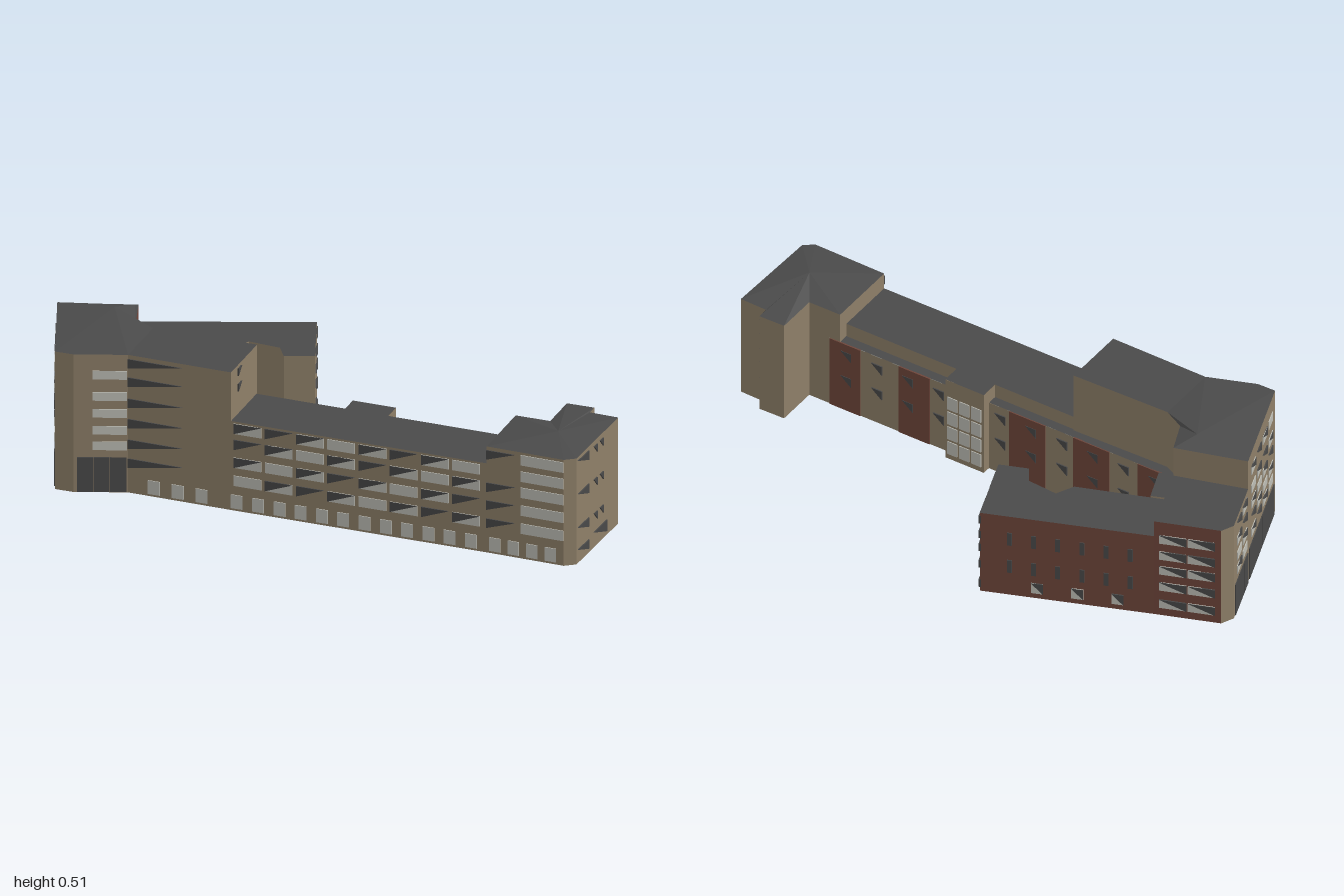
import * as THREE from 'three';
import { mergeGeometries } from 'three/addons/utils/BufferGeometryUtils.js';

const material = (name, color) =>
  new THREE.MeshStandardMaterial({ name, color, side: THREE.DoubleSide, flatShading: true });

export function createModel() {
  const model = new THREE.Group();
  model.name = 'courtyardBuilding';
  const tan = material('tanWall', 0x8e7f68);
  const brick = material('redBrick', 0x6e453a);
  const slate = material('darkRoof', 0x4a4a4a);
  const dark = material('darkGlass', 0x484848);
  const light = material('lightGlass', 0xbcbcb4);

  const add = (name, geometry, mat) => {
    const mesh = new THREE.Mesh(geometry, mat);
    mesh.name = name;
    model.add(mesh);
  };
  const fromTriangles = (positions) => {
    const g = new THREE.BufferGeometry();
    g.setAttribute('position', new THREE.Float32BufferAttribute(positions, 3));
    g.computeVertexNormals();
    return g;
  };

  // Vertical wall along a ground path of [x, z] points
  function wall(name, path, y0, y1, mat = tan) {
    const v = [];
    for (let i = 0; i < path.length - 1; i++) {
      const [ax, az] = path[i], [bx, bz] = path[i + 1];
      v.push(ax, y0, az, bx, y0, bz, bx, y1, bz, ax, y0, az, bx, y1, bz, ax, y1, az);
    }
    add(name, fromTriangles(v), mat);
  }

  // Flat roof, or a fan of low slopes rising to a peak [x, y, z]
  function roof(name, pts, y, peak) {
    if (peak) {
      const v = [];
      pts.forEach(([x, z], i) => {
        const [nx, nz] = pts[(i + 1) % pts.length];
        v.push(x, y, z, nx, y, nz, ...peak);
      });
      add(name, fromTriangles(v), slate);
    } else {
      const shape = new THREE.Shape(pts.map(([x, z]) => new THREE.Vector2(x, -z)));
      add(name, new THREE.ShapeGeometry(shape).rotateX(-Math.PI / 2).translate(0, y, 0), slate);
    }
  }

  // Thin plate set in the wall a-b; s values are distances from a
  function plate(a, b, s0, s1, y0, y1, half = false, depth = 0.006) {
    const pts = half ? [[s0, y0], [s1, y1], [s0, y1]] : [[s0, y0], [s1, y0], [s1, y1], [s0, y1]];
    const shape = new THREE.Shape(pts.map((p) => new THREE.Vector2(...p)));
    return new THREE.ExtrudeGeometry(shape, { depth, bevelEnabled: false })
      .translate(0, 0, -depth / 2)
      .rotateY(Math.atan2(a[1] - b[1], b[0] - a[0]))
      .translate(a[0], 0, a[1]);
  }

  // Grid of windows: n columns between s0 and s1, one row per base height
  function windows(name, a, b, s0, s1, n, rows, h, style, fill = 0.8) {
    const sets = { light: [], dark: [] };
    const pitch = (s1 - s0) / n;
    rows.forEach((y, j) => {
      for (let i = 0; i < n; i++) {
        const p = s0 + pitch * i, q = p + pitch * fill;
        const k = style === 'mixed' ? ['light', 'both', 'tri', 'both'][(i * 3 + j * 5) % 4] : style;
        if (k === 'light' || k === 'both') sets.light.push(plate(a, b, p, q, y, y + h));
        if (k === 'dark') sets.dark.push(plate(a, b, p, q, y, y + h));
        if (k === 'tri' || k === 'both') sets.dark.push(plate(a, b, p, q, y, y + h, true, 0.009));
      }
    });
    if (sets.light.length) add(name + 'LightWindows', mergeGeometries(sets.light), light);
    if (sets.dark.length) add(name + 'DarkWindows', mergeGeometries(sets.dark), dark);
  }

  // Plan corners
  const sw = [-0.80, 0.435], sw2 = [-0.735, 0.435], bend = [-0.57, 0.375];
  const tallE = [-0.21, 0.385], eastS = [0.68, 0.40], se = [0.95, 0.41], se2 = [0.985, 0.385];
  const ne = [0.995, 0.035], westMid = [-0.932, 0.07], nw = [-1, -0.12], nw2 = [-0.98, -0.165];
  const northJoin = [-0.77, -0.24], northE = [-0.23, -0.44], northE2 = [-0.14, -0.19];
  const court = [-0.71, -0.05], courtMid = [-0.69, 0], courtS = [-0.645, 0.11];
  const backE = [0.80, 0.14];

  // Tall corner block
  wall('tallBlockOuterWall', [westMid, sw, sw2, bend, tallE], 0, 0.487);
  wall('tallBlockEndWall', [tallE, [-0.21, 0.15]], 0.315, 0.487);
  wall('tallBlockBackWall', [[-0.21, 0.15], [-0.57, 0.15], courtS], 0.265, 0.487);
  wall('tallBlockCourtWall', [courtS, courtMid], 0, 0.487);
  wall('tallBlockNorthWall', [courtMid, westMid], 0.375, 0.487);
  roof('tallBlockPeakedRoof', [sw, sw2, bend, [-0.57, 0.15], courtS, courtMid, westMid], 0.487, [-0.73, 0.508, 0.08]);
  roof('tallBlockFlatRoof', [bend, tallE, [-0.21, 0.15], [-0.57, 0.15]], 0.487);

  // Long front bar with its top floor set back at the rear
  wall('barFrontWall', [tallE, eastS], 0, 0.315);
  wall('barCourtWall', [courtS, backE], 0, 0.265);
  wall('barUpperCourtWall', [[-0.21, 0.155], [0.68, 0.175]], 0.265, 0.315);
  roof('barRoof', [tallE, eastS, [0.68, 0.175], [-0.21, 0.155]], 0.315);
  roof('barTerrace', [courtS, [-0.57, 0.155], [-0.21, 0.155], [0.68, 0.175], [0.68, 0.14]], 0.265);

  // East end block with stair tower
  wall('eastBlockWall', [eastS, se, se2, ne, [0.895, 0.03], [0.895, -0.01], [0.80, -0.01], backE], 0, 0.375);
  wall('eastBlockBackWall', [backE, [0.68, 0.138]], 0.265, 0.375);
  wall('eastBlockInnerWall', [[0.68, 0.138], eastS], 0.315, 0.375);
  wall('eastBlockInnerStep', [[0.68, 0.138], [0.68, 0.175]], 0.265, 0.315);
  roof('eastBlockRoof', [eastS, se, se2, ne, [0.895, 0.03], [0.895, -0.01], [0.80, -0.01], backE, [0.68, 0.138]],
    0.375, [0.87, 0.397, 0.25]);

  // West wing
  wall('westWingOuterWall', [westMid, nw, nw2], 0, 0.375);
  wall('westWingNorthWall', [nw2, northJoin], 0, 0.375, brick);
  wall('westWingUpperWall', [northJoin, court], 0.315, 0.375, brick);
  wall('westWingCourtWall', [court, courtMid], 0, 0.375);
  roof('westWingRoof', [westMid, nw, nw2, northJoin, court, courtMid], 0.375);

  // North wing
  const wingCourt = [northE2, [-0.235, -0.155], [-0.27, -0.21], [-0.38, -0.22], [-0.41, -0.157], court];
  wall('northWingBrickWall', [northJoin, northE], 0, 0.315, brick);
  wall('northWingEndWall', [northE, northE2], 0, 0.315);
  wall('northWingCourtWall', wingCourt, 0, 0.315);
  roof('northWingRoof', [northJoin, northE, ...wingCourt], 0.315);

  // Courtyard stair towers
  const stair = [[0.10, 0.13], [0.10, 0.095], [0.25, 0.098], [0.25, 0.17], [0.10, 0.17]];
  wall('barStairTower', [...stair, stair[0]], 0, 0.315);
  roof('barStairRoof', stair, 0.316);
  const nook = [[-0.705, -0.035], [-0.64, -0.06], [-0.595, 0.06], [-0.66, 0.085]];
  wall('cornerStairTower', nook, 0, 0.31);
  roof('cornerStairRoof', nook, 0.31);

  // Brick stripes along the courtyard
  const stripes = [[0.60, 0.72], [0.33, 0.45], [-0.12, 0.02], [-0.37, -0.23], [-0.60, -0.48]]
    .map(([p, q]) => plate(courtS, backE, p + 0.645, q + 0.645, 0, 0.265));
  add('courtBrickStripes', mergeGeometries(stripes), brick);

  // Front windows
  const floors = [0.088, 0.152, 0.215, 0.272];
  windows('barFront', tallE, eastS, 0.01, 0.88, 8, floors, 0.036, 'mixed', 0.88);
  windows('barGround', tallE, eastS, 0.0, 0.89, 12, [0.008], 0.048, 'light', 0.55);
  windows('bendGround', bend, tallE, 0.07, 0.32, 3, [0.008], 0.048, 'light', 0.5);
  windows('bend', bend, tallE, 0.0, 0.19, 1, [0.088, 0.155, 0.228, 0.30, 0.375, 0.44], 0.033, 'tri', 1);
  windows('eastFront', eastS, se, 0.12, 0.27, 1, [0.088, 0.152, 0.215, 0.272, 0.33], 0.036, 'light', 1);
  windows('eastFrontSide', eastS, se, 0.0, 0.11, 1, [0.088, 0.152, 0.215, 0.33], 0.033, 'tri', 0.9);
  windows('eastGround', eastS, se, 0.01, 0.27, 4, [0.008], 0.048, 'light', 0.6);
  const tallFloors = [0.15, 0.205, 0.265, 0.325, 0.40];
  windows('corner', sw2, bend, 0.06, 0.172, 1, tallFloors, 0.03, 'light', 1);
  windows('cornerShop', sw2, bend, 0.01, 0.172, 3, [0.002], 0.122, 'dark', 0.96);

  // West windows and shopfront
  windows('westTall', sw, westMid, 0.04, 0.37, 4, tallFloors, 0.032, 'mixed', 0.7);
  windows('westShop', sw, westMid, 0.02, 0.38, 6, [0.002], 0.122, 'dark', 0.95);
  windows('westWing', westMid, nw, 0.02, 0.18, 2, [0.15, 0.205, 0.265, 0.325], 0.032, 'mixed', 0.75);
  windows('westWingShop', westMid, nw, 0.01, 0.19, 3, [0.002], 0.122, 'dark', 0.95);

  // North windows
  windows('northWest', nw2, northJoin, 0.02, 0.21, 2, [0.03, 0.10, 0.165, 0.225, 0.29], 0.033, 'both', 0.95);
  windows('northBrick', northJoin, northE, 0.07, 0.55, 6, [0.09, 0.20], 0.05, 'dark', 0.2);
  windows('northGround', northJoin, northE, 0.10, 0.50, 3, [0.02], 0.04, 'both', 0.3);

  // East windows
  const endFloors = [0.015, 0.093, 0.16, 0.212, 0.272];
  windows('eastEnd', ne, se2, 0.25, 0.34, 1, [0.015, 0.093, 0.212, 0.33], 0.033, 'tri', 1);
  windows('eastMiddle', ne, se2, 0.13, 0.23, 2, [0.093, 0.212, 0.33], 0.028, 'tri', 0.55);
  windows('eastBase', ne, se2, 0.10, 0.21, 1, [0.015], 0.04, 'tri', 1);
  windows('northEnd', northE, northE2, 0.0, 0.10, 1, endFloors, 0.03, 'tri', 1);
  windows('northEndSide', northE, northE2, 0.16, 0.24, 1, endFloors, 0.03, 'tri', 1);
  windows('eastTower', [0.895, 0.03], [0.895, -0.01], 0.0, 0.04, 1, [0.015, 0.093, 0.16, 0.212, 0.272, 0.33], 0.028, 'tri', 0.9);
  windows('tallEnd', tallE, [-0.21, 0.15], 0.06, 0.09, 1, [0.395, 0.45], 0.026, 'tri', 1);

  // Courtyard windows
  windows('barStair', stair[1], stair[2], 0.01, 0.15, 3, [0.02, 0.08, 0.14, 0.20], 0.05, 'light', 0.8);
  windows('barCourt', courtS, backE, 0.08, 1.40, 11, [0.10, 0.20], 0.035, 'tri', 0.35);
  windows('wingCourt', [-0.41, -0.157], court, 0.03, 0.31, 4, [0.03, 0.09, 0.15, 0.21], 0.035, 'both', 0.5);

  return model;
}
